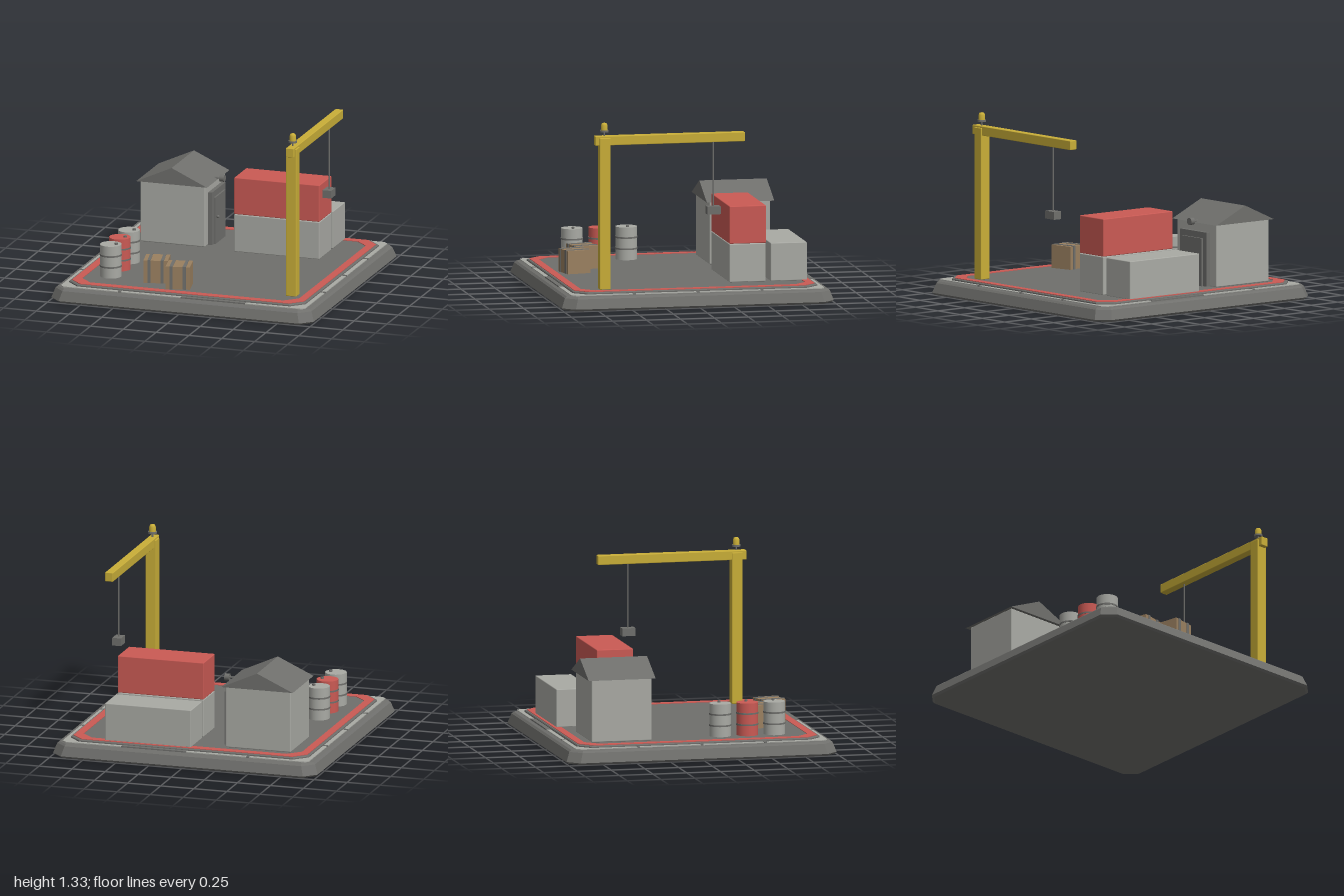
import * as THREE from 'three';
import { RoundedBoxGeometry } from 'three/addons/geometries/RoundedBoxGeometry.js';

const mat = (name, color, extra = {}) => {
  const m = new THREE.MeshStandardMaterial({ color, ...extra });
  m.name = name;
  return m;
};

// Square with cut corners, counter-clockwise seen from above, as [x, z]
function octagon(h, cut) {
  const k = h - cut;
  return [[h, k], [h, -k], [k, -h], [-k, -h], [-h, -k], [-h, k], [-k, h], [k, h]];
}

// Closed solid through octagon rings [half width, corner cut, y]
function loft(rings) {
  const pos = [];
  const idx = [];
  rings.forEach(([h, cut, y]) => octagon(h, cut).forEach(([x, z]) => pos.push(x, y, z)));
  for (let r = 0; r < rings.length - 1; r++) {
    for (let i = 0; i < 8; i++) {
      const a = r * 8 + i, b = r * 8 + (i + 1) % 8;
      idx.push(a, b, b + 8, a, b + 8, a + 8);
    }
  }
  const top = (rings.length - 1) * 8;
  for (let i = 1; i < 7; i++) idx.push(top, top + i, top + i + 1, 0, i + 1, i);
  const g = new THREE.BufferGeometry();
  g.setAttribute('position', new THREE.Float32BufferAttribute(pos, 3));
  g.setIndex(idx);
  const flat = g.toNonIndexed();
  flat.computeVertexNormals();
  return flat;
}

export function createModel() {
  const root = new THREE.Group();
  root.name = 'cargoYard';
  const dark = mat('darkGrey', 0x6f6f6c);
  const light = mat('lightGrey', 0xa9aaa4);
  const red = mat('red', 0xca5a54);
  const yellow = mat('yellow', 0xc9ae38);
  const brown = mat('crateBrown', 0x9a8060);

  const add = (name, geo, material, x = 0, y = 0, z = 0, parent = root) => {
    const m = new THREE.Mesh(geo, material);
    m.name = name;
    m.position.set(x, y, z);
    parent.add(m);
    return m;
  };
  const group = (name, x = 0, y = 0, z = 0) => {
    const g = new THREE.Group();
    g.name = name;
    g.position.set(x, y, z);
    root.add(g);
    return g;
  };
  // Box given by its lower and upper corners
  const box = (name, material, [x0, y0, z0], [x1, y1, z1], parent = root, r = 0) => {
    const s = [x1 - x0, y1 - y0, z1 - z0];
    const g = r ? new RoundedBoxGeometry(...s, 2, r) : new THREE.BoxGeometry(...s);
    return add(name, g, material, (x0 + x1) / 2, (y0 + y1) / 2, (z0 + z1) / 2, parent);
  };
  const cyl = (r0, r1, h, n = 24) => new THREE.CylinderGeometry(r0, r1, h, n);

  // Platform: bevelled base, pale border, deck
  const floor = 0.122;
  add('base', loft([[0.985, 0.08, 0], [1, 0.085, 0.015], [0.975, 0.08, 0.085],
    [0.96, 0.07, 0.098], [0.935, 0.04, 0.102]]), dark);
  add('border', loft([[0.932, 0.03, 0.1], [0.932, 0.03, 0.108]]), light);
  add('deck', loft([[0.9, 0.09, 0.1], [0.9, 0.09, 0.116], [0.895, 0.09, floor]]), dark);

  // Dark joints and inserts in the border
  for (const s of [-1, 1]) {
    const strip = (x0, x1) => box('borderInsert', dark,
      [x0, 0.101, s * 0.917 - 0.017], [x1, 0.111, s * 0.917 + 0.017]);
    strip(-0.485, -0.465);
    strip(-0.01, 0.48);
    for (const z of [-0.47, 0, 0.47]) {
      box('borderJoint', dark, [s * 0.917 - 0.017, 0.101, z - 0.01], [s * 0.917 + 0.017, 0.111, z + 0.01]);
    }
  }

  // Painted red line around the deck
  const toPoints = (h, cut) => octagon(h, cut).map(([x, z]) => new THREE.Vector2(x, -z));
  const ring = new THREE.Shape(toPoints(0.884, 0.09));
  ring.holes.push(new THREE.Path(toPoints(0.826, 0.09)));
  const line = new THREE.ExtrudeGeometry(ring, { depth: 0.004, bevelEnabled: false });
  line.rotateX(-Math.PI / 2);
  add('safetyLine', line, red, 0, floor, 0);

  // Hut with gabled roof, door and lamp
  const hut = group('hut');
  box('walls', light, [-0.752, floor, -0.775], [-0.258, 0.58, -0.33], hut, 0.008);
  const gable = new THREE.Shape([[-0.27, 0], [0.27, 0], [0, 0.123]].map(p => new THREE.Vector2(...p)));
  add('roof', new THREE.ExtrudeGeometry(gable, { depth: 0.496, bevelEnabled: false }),
    dark, -0.505, 0.576, -0.802, hut);
  box('doorFrame', dark, [-0.27, floor, -0.7], [-0.228, 0.515, -0.4], hut);
  box('door', dark, [-0.24, floor, -0.66], [-0.215, 0.47, -0.44], hut);
  add('doorKnob', new THREE.SphereGeometry(0.012, 12, 8), dark, -0.207, 0.32, -0.47, hut);
  add('lamp', cyl(0.026, 0.026, 0.035, 16), dark, -0.203, 0.585, -0.555, hut).rotation.z = Math.PI / 2;
  add('lampArm', cyl(0.007, 0.007, 0.05, 8), dark, -0.24, 0.585, -0.555, hut).rotation.z = Math.PI / 2;

  // Cargo containers
  const containers = group('containers');
  box('frontContainer', light, [-0.025, floor, -0.56], [0.625, 0.4, -0.293], containers, 0.006);
  box('rearContainer', light, [-0.025, floor, -0.863], [0.625, 0.4, -0.596], containers, 0.006);
  box('upperContainer', red, [-0.025, 0.402, -0.563], [0.625, 0.676, -0.293], containers, 0.006);

  // Crane with cable, load block and beacon
  const crane = group('crane');
  box('post', yellow, [0.71, floor, 0.615], [0.79, 1.225, 0.695], crane, 0.005);
  box('beam', yellow, [0.72, 1.17, -0.375], [0.78, 1.238, 0.726], crane, 0.005);
  add('cable', cyl(0.006, 0.006, 0.48, 8), dark, 0.75, 0.935, -0.147, crane);
  box('loadBlock', dark, [0.717, 0.645, -0.196], [0.783, 0.702, -0.098], crane);
  add('beaconStem', cyl(0.006, 0.006, 0.04, 8), dark, 0.75, 1.255, 0.655, crane);
  add('beaconBase', cyl(0.032, 0.032, 0.014), dark, 0.75, 1.272, 0.655, crane);
  const dome = [[0.025, 0], [0.024, 0.035], [0.017, 0.05], [0, 0.055]].map(p => new THREE.Vector2(...p));
  add('beaconDome', new THREE.LatheGeometry(dome, 20), yellow, 0.75, 1.279, 0.655, crane);

  // Barrels with dark hoops and a filler cap
  [[0.2, light], [0.4, red], [0.6, light]].forEach(([z, paint]) => {
    const b = group('barrel', -0.655, floor, z);
    add('barrelBody', cyl(0.078, 0.078, 0.238), paint, 0, 0.119, 0, b);
    for (const y of [0.08, 0.162]) add('barrelHoop', cyl(0.081, 0.081, 0.012), dark, 0, y, 0, b);
    add('barrelCap', cyl(0.012, 0.012, 0.012, 12), dark, 0.04, 0.244, 0, b);
  });

  // Strapped crates
  [[-0.305, 0.597, 0.22], [-0.1, 0.698, 0.2]].forEach(([x, z, turn]) => {
    const c = group('crate', x, floor, z);
    c.rotation.y = turn;
    box('crateBody', brown, [-0.088, 0, -0.088], [0.088, 0.168, 0.088], c);
    for (const s of [-0.048, 0.048]) {
      box('crateStrap', dark, [s - 0.011, 0, -0.092], [s + 0.011, 0.172, 0.092], c);
    }
  });

  return root;
}
